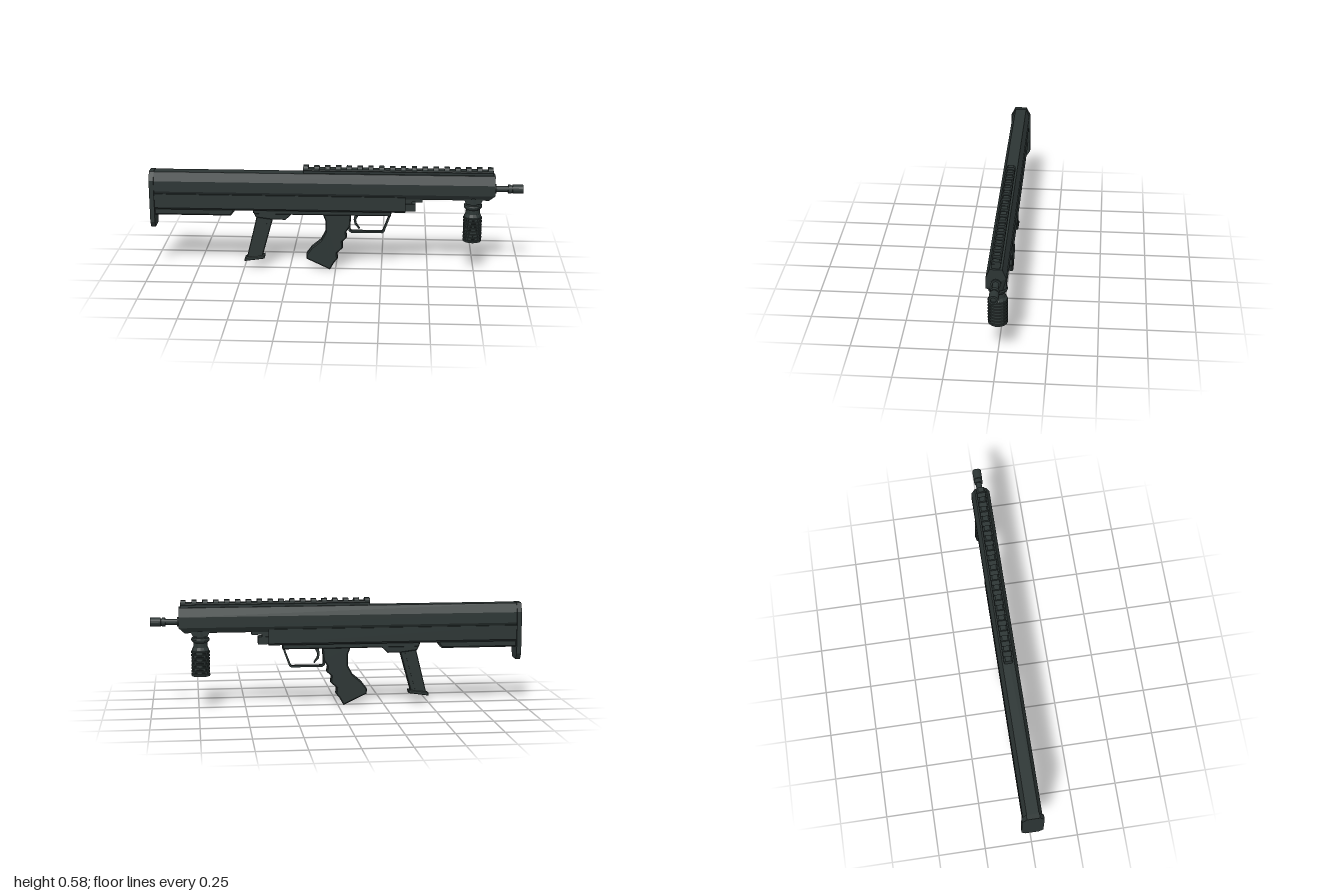
import * as THREE from 'three';

export function createModel() {
  const root = new THREE.Group();
  const gunmetal = new THREE.MeshStandardMaterial({ color: 0x2c3534, flatShading: true });
  gunmetal.name = 'gunmetal';

  const add = (name, geometry, x = 0, y = 0, z = 0) => {
    const mesh = new THREE.Mesh(geometry, gunmetal);
    mesh.name = name;
    mesh.position.set(x, y, z);
    root.add(mesh);
    return mesh;
  };
  const toShape = (pts) => new THREE.Shape(pts.map(([a, b]) => new THREE.Vector2(a, b)));

  // Side outline (x, y) given a total width in z, with optional chamfered rims
  const slab = (pts, width, bevel = 0) => {
    const g = new THREE.ExtrudeGeometry(toShape(pts), {
      depth: width - 2 * bevel, bevelEnabled: bevel > 0, bevelThickness: bevel,
      bevelSize: bevel, bevelOffset: -bevel, bevelSegments: 1, curveSegments: 6,
    });
    return g.translate(0, 0, -width / 2 + bevel);
  };
  // Mirrored cross-section (half width, y), listed bottom to top, run along x
  const prism = (half, x0, x1) => {
    const pts = [...half, ...half.slice().reverse().map(([w, y]) => [-w, y])];
    const g = new THREE.ExtrudeGeometry(toShape(pts), { depth: x1 - x0, bevelEnabled: false });
    return g.rotateY(Math.PI / 2).translate(x0, 0, 0);
  };
  const box = (name, x0, x1, y0, y1, width) =>
    add(name, new THREE.BoxGeometry(x1 - x0, y1 - y0, width), (x0 + x1) / 2, (y0 + y1) / 2);

  // Upper body, with the bottom of its nose cut back
  const upper = prism([[0.03, 0.415], [0.05, 0.445], [0.05, 0.502], [0.031, 0.55]], -0.98, 0.85);
  const p = upper.attributes.position;
  for (let i = 0; i < p.count; i++) {
    if (p.getX(i) > 0.8 && p.getY(i) < 0.43) p.setX(i, 0.82);
  }
  upper.computeVertexNormals();
  add('upperBody', upper);

  // Lower body and stock
  add('lowerBody', prism([[0.04, 0.343], [0.048, 0.353], [0.048, 0.43]], -0.98, 0.375));
  add('stockUnderside', slab([[-0.98, 0.31], [-0.565, 0.31], [-0.545, 0.335], [-0.545, 0.36], [-0.98, 0.36]], 0.08, 0.008));
  add('buttPad', prism([[0.035, 0.242], [0.057, 0.275], [0.057, 0.505], [0.033, 0.553]], -1, -0.975));
  box('frontStep', 0.37, 0.465, 0.4, 0.425, 0.056);
  box('frontCatch', 0.37, 0.43, 0.348, 0.388, 0.06);
  box('catchPlate', 0.37, 0.41, 0.38, 0.41, 0.05);

  // Top rail with evenly spaced teeth
  add('railBase', prism([[0.02, 0.545], [0.02, 0.56], [0.024, 0.566], [0.022, 0.574]], -0.172, 0.84));
  for (let i = 0; i < 18; i++) {
    const x = -0.172 + i * 0.0578;
    add('railTooth', prism([[0.024, 0.566], [0.023, 0.578], [0.015, 0.588]], x, x + 0.028));
  }

  // Barrel and muzzle
  const tube = (name, r, x0, x1) =>
    add(name, new THREE.CylinderGeometry(r, r, x1 - x0, 16).rotateZ(Math.PI / 2), (x0 + x1) / 2, 0.473);
  tube('barrelCollar', 0.025, 0.84, 0.858);
  tube('barrel', 0.016, 0.83, 0.94);
  tube('muzzleRing', 0.023, 0.92, 0.938);
  tube('muzzleCore', 0.02, 0.93, 0.99);
  const muzzle = [[0.012, 0.94], [0.024, 0.945], [0.024, 1], [0.014, 1], [0.014, 0.98], [0, 0.98]];
  add('muzzle', new THREE.LatheGeometry(muzzle.map(([r, y]) => new THREE.Vector2(r, y)), 16)
    .rotateZ(-Math.PI / 2), 0, 0.473);

  // Ribbed vertical foregrip
  const profile = [[0, 0.18], [0.049, 0.18]];
  for (let i = 0; i < 8; i++) {
    const y = 0.184 + i * 0.0175;
    profile.push([0.051, y], [0.051, y + 0.007], [0.047, y + 0.009], [0.047, y + 0.015]);
  }
  profile.push([0.047, 0.322], [0.039, 0.336], [0.038, 0.36], [0.048, 0.37], [0.05, 0.378],
    [0.047, 0.386], [0.038, 0.39], [0.038, 0.425], [0, 0.425]);
  add('foregrip', new THREE.LatheGeometry(profile.map(([r, y]) => new THREE.Vector2(r, y)), 14), 0.737);
  add('foregripMount', slab([[0.7, 0.395], [0.775, 0.395], [0.79, 0.425], [0.685, 0.425]], 0.07));

  // Trigger housing, guard and trigger
  add('triggerHousing', slab([[-0.445, 0.325], [-0.43, 0.318], [0.3, 0.318], [0.3, 0.35], [-0.445, 0.35]], 0.06, 0.004));
  const guard = toShape([[0.07, 0.325], [0.07, 0.226], [0.085, 0.216], [0.253, 0.216], [0.264, 0.224], [0.3, 0.325]]);
  guard.holes.push(new THREE.Path([[0.08, 0.32], [0.288, 0.32], [0.254, 0.23], [0.249, 0.226], [0.088, 0.226], [0.08, 0.232]]
    .map(([x, y]) => new THREE.Vector2(x, y))));
  add('triggerGuard', new THREE.ExtrudeGeometry(guard, { depth: 0.024, bevelEnabled: false }), 0, 0, -0.012);
  add('trigger', slab([[0.105, 0.325], [0.098, 0.29], [0.103, 0.262], [0.127, 0.236], [0.131, 0.241],
    [0.114, 0.267], [0.11, 0.288], [0.13, 0.325]], 0.014));

  // Pistol grip with finger grooves
  add('pistolGrip', slab([[-0.07, 0.325], [-0.055, 0.285], [-0.055, 0.22], [-0.08, 0.172], [-0.13, 0.13],
    [-0.158, 0.092], [-0.157, 0.064], [-0.03, 0.004], [-0.008, 0.043], [0.012, 0.068], [0.008, 0.1],
    [0.04, 0.13], [0.037, 0.165], [0.062, 0.19], [0.057, 0.22], [0.08, 0.255], [0.085, 0.325]], 0.046, 0.006));

  // Magazine well, magazine and its side ribs
  add('magazineWell', slab([[-0.445, 0.33], [-0.43, 0.3], [-0.34, 0.288], [-0.27, 0.288], [-0.225, 0.33]], 0.056, 0.004));
  add('magazine', slab([[-0.42, 0.33], [-0.328, 0.33], [-0.4, 0.068], [-0.487, 0.056]], 0.04, 0.004));
  for (const side of [-1, 1]) {
    add('magazineRib', slab([[-0.392, 0.3], [-0.362, 0.3], [-0.425, 0.07], [-0.455, 0.066]], 0.004), 0, 0, side * 0.021);
  }
  add('magazineBase', slab([[-0.498, 0.046], [-0.388, 0.062], [-0.385, 0.08], [-0.405, 0.078], [-0.485, 0.068], [-0.496, 0.062]], 0.05, 0.003));

  return root;
}
